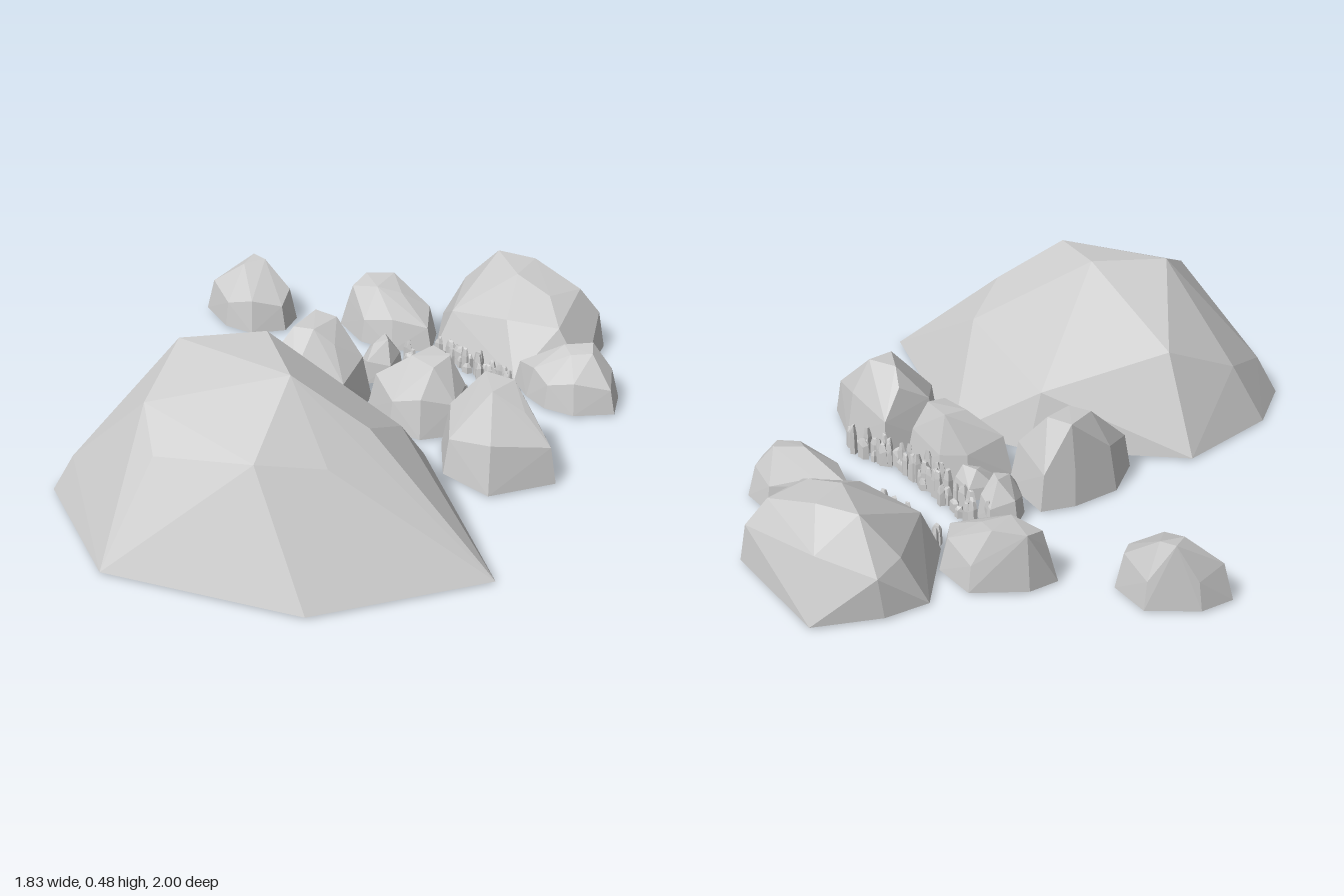
import * as THREE from 'three';
import { ConvexGeometry } from 'three/addons/geometries/ConvexGeometry.js';

const material = new THREE.MeshStandardMaterial({ color: 0xcccccc, flatShading: true });
const FLOOR = 0.006;

// Seeded generator so the pebbles are always the same
let seed = 7;
const rand = (a, b) => {
  seed = (seed * 16807) % 2147483647;
  return a + (b - a) * (seed / 2147483647);
};

// Faceted stone: flat footprint of [x, z] corners plus upper corners [x, y, z]
function stone(name, footprint, upper, floor = FLOOR) {
  const points = footprint.map(([x, z]) => new THREE.Vector3(x, floor, z));
  upper.forEach((p) => points.push(new THREE.Vector3(...p)));
  const mesh = new THREE.Mesh(new ConvexGeometry(points), material);
  mesh.name = name;
  return mesh;
}

// Smaller stone: a shoulder ring is pulled in from the footprint below the given top corners
function boulder(name, footprint, top, inset = 0.9, shoulder = 0.45) {
  const n = footprint.length;
  const cx = footprint.reduce((s, p) => s + p[0], 0) / n;
  const cz = footprint.reduce((s, p) => s + p[1], 0) / n;
  const h = Math.max(...top.map((p) => p[1]));
  const ring = footprint.map(([x, z], i) => {
    const k = inset - (i % 2) * 0.06;
    return [cx + (x - cx) * k, h * (shoulder + (i % 2) * 0.13), cz + (z - cz) * k];
  });
  return stone(name, footprint, [...ring, ...top]);
}

// Curved row of tiny upright chips
function pebbleRow(name, count, x0, x1, zAt, spread, maxHeight) {
  const row = new THREE.Group();
  row.name = name;
  for (let i = 0; i < count; i++) {
    const x = x0 + ((x1 - x0) * (i + rand(0.2, 0.8))) / count;
    const z = zAt(x) + rand(-spread, spread);
    const rx = rand(0.01, 0.024), rz = rand(0.008, 0.016), h = rand(0.025, maxHeight);
    const turn = rand(0, 6.28), sides = 5;
    const ring = (k) => Array.from({ length: sides }, (_, j) => {
      const a = turn + (j / sides) * Math.PI * 2;
      return [x + Math.cos(a) * rx * k, z + Math.sin(a) * rz * k];
    });
    const upper = ring(0.9).map(([px, pz]) => [px, h * rand(0.5, 0.75), pz]);
    ring(0.5).forEach(([px, pz]) => upper.push([px, h * rand(0.85, 1), pz]));
    row.add(stone('pebble', ring(1), upper, 0));
  }
  return row;
}

export function createModel() {
  const model = new THREE.Group();
  model.name = 'rockCluster';

  // Large front rock
  model.add(stone('largeRock',
    [[0.29, -0.05], [0.91, 0.22], [0.75, 0.70], [0.27, 1.0], [-0.17, 0.89], [-0.28, 0.71], [-0.31, 0.37], [0.05, 0.04]],
    [[0.05, 0.47, 0.60], [0.17, 0.478, 0.40], [0.39, 0.46, 0.48], [0.16, 0.38, 0.78], [0.26, 0.28, 0.82],
      [0.51, 0.32, 0.68], [0.59, 0.285, 0.51], [0.54, 0.325, 0.34], [0.69, 0.145, 0.32], [0.47, 0.25, 0.18],
      [0.05, 0.18, 0.09], [-0.15, 0.28, 0.42], [-0.20, 0.18, 0.65], [-0.12, 0.12, 0.85]]));

  // Rear rock
  model.add(stone('rearRock',
    [[-0.30, -1.0], [0.09, -0.95], [0.22, -0.745], [0.10, -0.56], [-0.22, -0.51], [-0.41, -0.70], [-0.39, -0.83]],
    [[-0.27, 0.25, -0.81], [-0.15, 0.25, -0.86], [-0.10, 0.245, -0.74], [-0.25, 0.17, -0.94], [0.03, 0.2, -0.89],
      [0.03, 0.21, -0.76], [0.13, 0.15, -0.71], [0.0, 0.16, -0.61], [-0.36, 0.14, -0.75], [-0.20, 0.13, -0.56],
      [0.07, 0.12, -0.94], [-0.38, 0.12, -0.84]]));

  // Medium rocks around the gap
  model.add(boulder('rearLeftRock',
    [[0.26, -0.75], [0.37, -0.74], [0.445, -0.65], [0.38, -0.545], [0.29, -0.51], [0.20, -0.52], [0.10, -0.56], [0.17, -0.64]],
    [[0.30, 0.175, -0.69], [0.25, 0.17, -0.62], [0.34, 0.165, -0.65], [0.30, 0.16, -0.60]]));
  model.add(boulder('rearRightRock',
    [[-0.44, -0.595], [-0.30, -0.58], [-0.21, -0.485], [-0.29, -0.39], [-0.40, -0.35], [-0.55, -0.38], [-0.54, -0.47]],
    [[-0.53, 0.17, -0.47], [-0.46, 0.178, -0.53], [-0.42, 0.17, -0.43], [-0.37, 0.15, -0.49], [-0.51, 0.15, -0.40]]));
  model.add(boulder('farRightRock',
    [[-0.80, -0.31], [-0.67, -0.29], [-0.615, -0.205], [-0.66, -0.105], [-0.76, -0.07], [-0.915, -0.10], [-0.90, -0.20]],
    [[-0.84, 0.19, -0.24], [-0.79, 0.185, -0.25], [-0.81, 0.18, -0.18], [-0.72, 0.13, -0.20]]));
  model.add(boulder('tallRightRock',
    [[-0.25, -0.175], [-0.07, -0.14], [-0.01, 0.0], [-0.09, 0.15], [-0.22, 0.20], [-0.30, 0.07], [-0.29, -0.08]],
    [[-0.26, 0.25, -0.07], [-0.18, 0.25, -0.09], [-0.16, 0.245, 0.01], [-0.22, 0.24, 0.04], [-0.11, 0.20, -0.03]]));
  model.add(boulder('middleRock',
    [[0.06, -0.295], [0.22, -0.29], [0.265, -0.20], [0.22, -0.09], [0.12, -0.055], [-0.03, -0.09], [0.0, -0.23]],
    [[0.08, 0.21, -0.25], [0.17, 0.215, -0.24], [0.18, 0.20, -0.17], [0.08, 0.20, -0.17]]));
  model.add(boulder('tallLeftRock',
    [[0.29, -0.31], [0.48, -0.31], [0.64, -0.235], [0.58, -0.04], [0.41, -0.02], [0.27, -0.13]],
    [[0.36, 0.25, -0.21], [0.45, 0.25, -0.24], [0.46, 0.245, -0.15], [0.53, 0.19, -0.21], [0.32, 0.2, -0.23]]));

  // Small stones
  model.add(boulder('smallRock',
    [[-0.22, -0.34], [-0.15, -0.325], [-0.115, -0.25], [-0.16, -0.18], [-0.22, -0.21], [-0.26, -0.27]],
    [[-0.20, 0.13, -0.29], [-0.16, 0.13, -0.27], [-0.18, 0.12, -0.23]]));
  model.add(boulder('smallStone',
    [[-0.07, -0.29], [0.01, -0.285], [0.025, -0.24], [-0.06, -0.175], [-0.105, -0.21]],
    [[-0.06, 0.09, -0.25], [-0.01, 0.09, -0.26], [-0.04, 0.08, -0.22]]));

  // Pebble rows lining both sides of the gap
  model.add(pebbleRow('frontPebbles', 55, -0.2, 0.43, (x) => -0.325 + 0.02 * Math.sin(x * 9), 0.025, 0.1));
  model.add(pebbleRow('rearPebbles', 28, -0.2, 0.15, (x) => -0.505 - 0.06 * (x + 0.02), 0.02, 0.08));
  return model;
}
